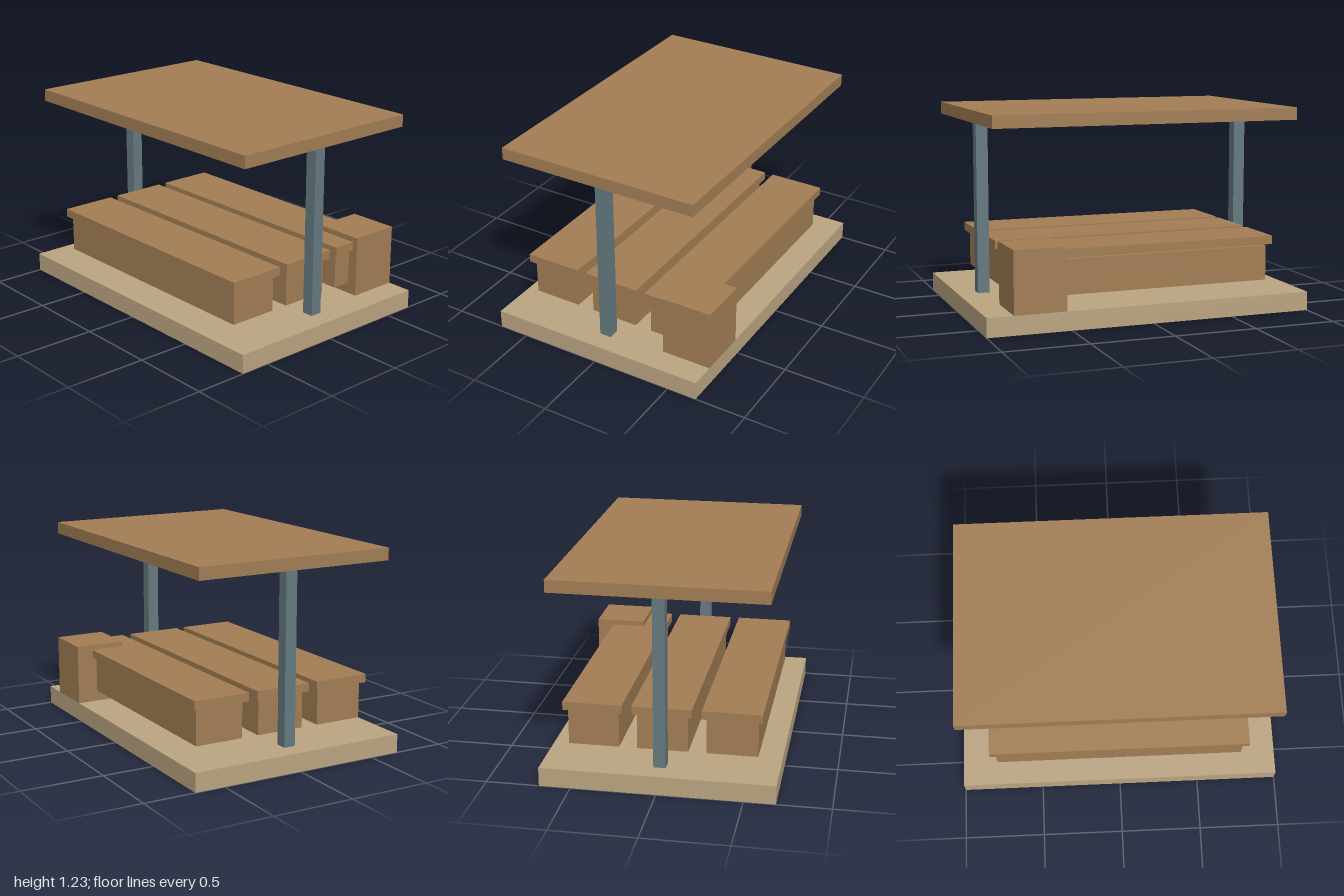
import * as THREE from 'three';

export function createModel() {
  const model = new THREE.Group();
  model.name = 'shelteredBenches';

  const material = (color) => new THREE.MeshStandardMaterial({ color, flatShading: true });
  const wood = material(0xa37e55);
  const sand = material(0xbba582);
  const steel = material(0x647a80);

  // Box given by its centre in x and z, its bottom and top heights, and its width and depth
  function block(name, mat, x, z, bottom, top, width, depth, parent = model) {
    const mesh = new THREE.Mesh(new THREE.BoxGeometry(width, top - bottom, depth), mat);
    mesh.name = name;
    mesh.position.set(x, (bottom + top) / 2, z);
    parent.add(mesh);
  }

  // Ground slab and flat roof
  block('baseSlab', sand, 0, 0, 0, 0.114, 2, 1.37);
  block('roof', wood, 0, 0, 1.154, 1.228, 1.876, 1.25);

  // One post at each end
  for (const side of [-1, 1]) {
    block(side > 0 ? 'leftPost' : 'rightPost', steel, side * 0.845, 0, 0.114, 1.154, 0.072, 0.072);
  }

  // Three rows, each a long body with a slightly larger top board above it
  ['back', 'middle', 'front'].forEach((row, i) => {
    const bench = new THREE.Group();
    bench.name = row + 'Bench';
    bench.position.z = (i - 1) * 0.407;
    block('benchBody', wood, 0, 0, 0.18, 0.39, 1.56, 0.3, bench);
    block('benchTop', wood, 0, 0, 0.402, 0.453, 1.62, 0.35, bench);
    model.add(bench);
  });

  // Storage box in the back left corner
  block('storageBox', wood, 0.686, -0.53, 0.114, 0.485, 0.312, 0.31);

  return model;
}
